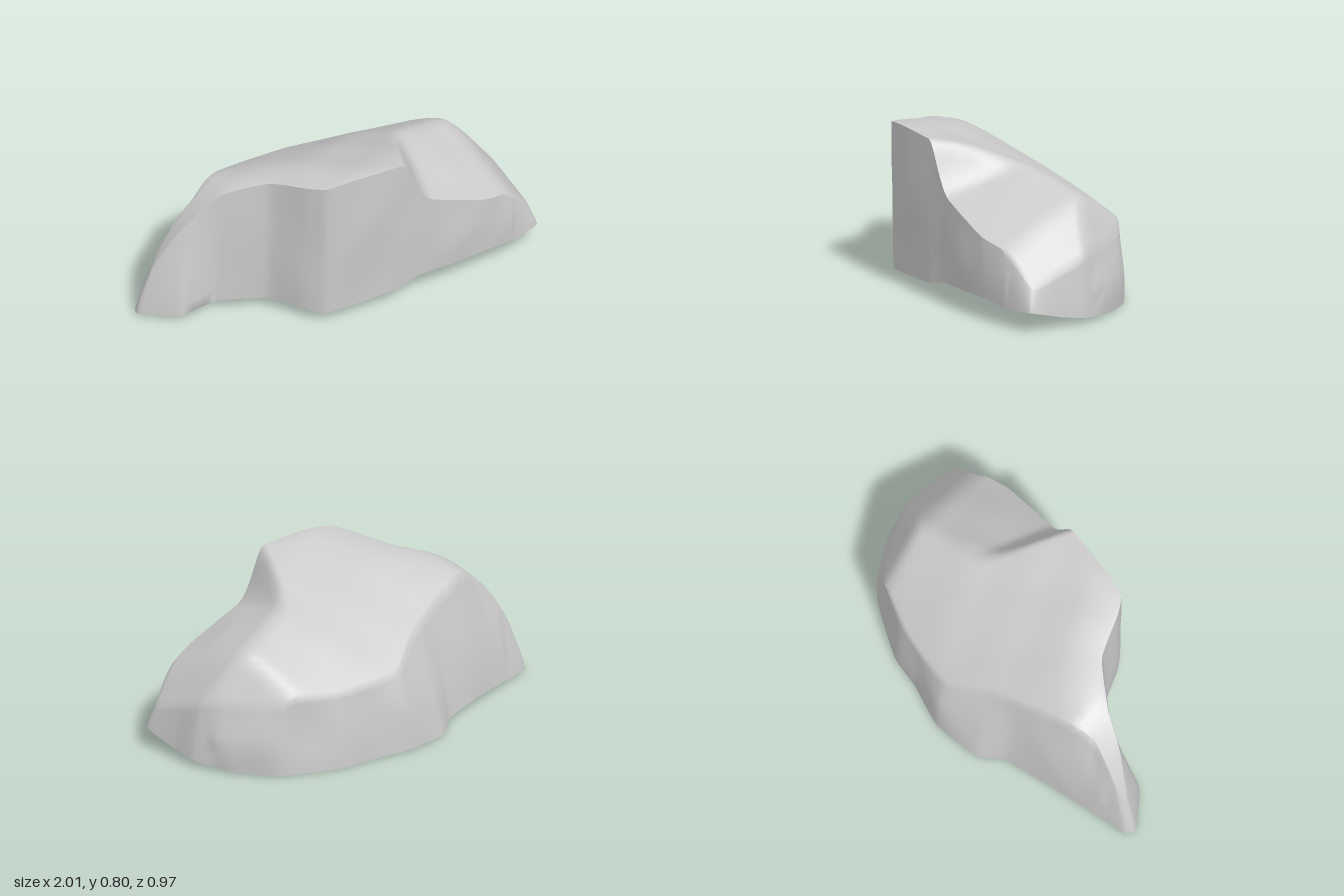
import * as THREE from 'three';
import { toCreasedNormals } from 'three/addons/utils/BufferGeometryUtils.js';

// Footprint of the boulder: base x, z, y, then the x, z of the upper rim
const OUTLINE = [
  [1, .19, .11, .96, .17], [.86, .26, .10, .80, .27], [.70, .32, .12, .68, .33],
  [.50, .37, .12, .50, .37], [.32, .39, .11, .34, .40], [.20, .42, .08, .22, .43],
  [0, .45, .07, 0, .465], [-.18, .46, .06, -.17, .475], [-.27, .40, .07, -.25, .41],
  [-.40, .26, .07, -.39, .25], [-.64, .18, .06, -.62, .16], [-.83, .21, .04, -.76, .14],
  [-1, .10, .02, -.93, .09], [-.99, .04, .02, -.88, .06], [-.80, -.06, .03, -.70, .04],
  [-.60, -.17, .04, -.53, -.06], [-.40, -.28, .03, -.33, -.18], [-.30, -.39, .01, -.18, -.28],
  [-.08, -.48, .02, -.04, -.41], [.15, -.475, .01, .15, -.44], [.32, -.49, .01, .32, -.445],
  [.62, -.42, .01, .58, -.41], [.80, -.28, .02, .75, -.27], [.92, -.12, .04, .88, -.12],
  [.95, 0, .06, .92, 0],
];

// Minimum with a slightly rounded ridge
function softMin(a, b, k = 0.06) {
  const h = Math.max(k - Math.abs(a - b), 0) / k;
  return Math.min(a, b) - h * h * k / 4;
}

// Upper surface: sloping slab cut by a broken corner and falling ends
function topHeight(x, z) {
  const slab = 0.674 + 0.46 * z - 0.35 * z * z;
  const step = -softMin(0, 2 * (x - 0.345), 0.1);
  const corner = 0.84 - 0.454 * x - 0.307 * z + step;
  const leftEnd = 1.47 - 1.29 * x;
  const backCorner = 1.83 - 1.46 * (x - z);
  const rightShoulder = 0.865 + 0.32 * x;
  const rightEnd = softMin(1.29 + x, 1.94 + 1.8 * x);
  return [corner, leftEnd, backCorner, rightShoulder, rightEnd].reduce((y, cut) => softMin(y, cut), slab);
}

// Gentle unevenness of the stone
const wobble = (x, y, z) =>
  Math.sin(7 * x + 3 * z) * Math.sin(5 * y + 9 * z + 1) + 0.6 * Math.sin(17 * x - 6 * y + 4) * Math.sin(13 * z + 4 * y);

function boulderGeometry() {
  const COLS = 200, UNDER = 6, WALL = 10, TOP = 40;
  const rows = UNDER + WALL + TOP;
  const loop = (f) => new THREE.CatmullRomCurve3(OUTLINE.map(f), true, 'catmullrom', 0.25);
  const baseCurve = loop(([x, z, y]) => new THREE.Vector3(x, y, z));
  const rimCurve = loop(([, , , x, z]) => new THREE.Vector3(x, 0, z));
  const underCentre = new THREE.Vector3(-0.1, 0.06, 0);
  const positions = [], index = [];
  const p = new THREE.Vector3();

  for (let i = 0; i <= rows; i++) {
    for (let j = 0; j < COLS; j++) {
      const base = baseCurve.getPoint(j / COLS), rim = rimCurve.getPoint(j / COLS);
      rim.y = topHeight(rim.x, rim.z) - 0.006;
      if (i <= UNDER) {
        // underside, from its middle out to the base edge
        p.lerpVectors(underCentre, base, i / UNDER);
      } else if (i <= UNDER + WALL) {
        // side walls, steep below and leaning in towards the rim
        const s = (i - UNDER) / WALL, lean = s ** 1.2;
        p.set(base.x + (rim.x - base.x) * lean, base.y + (rim.y - base.y) * s, base.z + (rim.z - base.z) * lean);
        const k = 1 + 0.016 * Math.sin(Math.PI * s) * (0.6 + wobble(p.x, p.y, p.z));
        p.x *= Math.abs(p.x) > 0.85 ? 1 : k;
        p.z *= k;
      } else {
        // upper surface, from the rim in to the middle
        const s = 1 - (i - UNDER - WALL) / TOP;
        p.set(-0.1 + (rim.x + 0.1) * s, 0, rim.z * s);
        p.y = topHeight(p.x, p.z) - 0.006 * s ** 8 + 0.006 * wobble(p.x, 0.5, p.z) * (1 - s ** 6);
      }
      positions.push(p.x, p.y, p.z);
      if (i === rows) continue;
      const a = i * COLS + j, b = i * COLS + (j + 1) % COLS, c = a + COLS, d = b + COLS;
      if (i < rows - 1) index.push(b, c, d);
      if (i > 0) index.push(a, c, b);
    }
  }
  const geometry = new THREE.BufferGeometry();
  geometry.setAttribute('position', new THREE.Float32BufferAttribute(positions, 3));
  geometry.setIndex(index);
  geometry.computeBoundingBox();
  geometry.translate(0, -geometry.boundingBox.min.y, 0);
  return toCreasedNormals(geometry, 0.95);
}

export function createModel() {
  const group = new THREE.Group();
  group.name = 'rock';
  const boulder = new THREE.Mesh(boulderGeometry(), new THREE.MeshStandardMaterial({ color: 0xcccccc }));
  boulder.name = 'boulder';
  group.add(boulder);
  return group;
}
